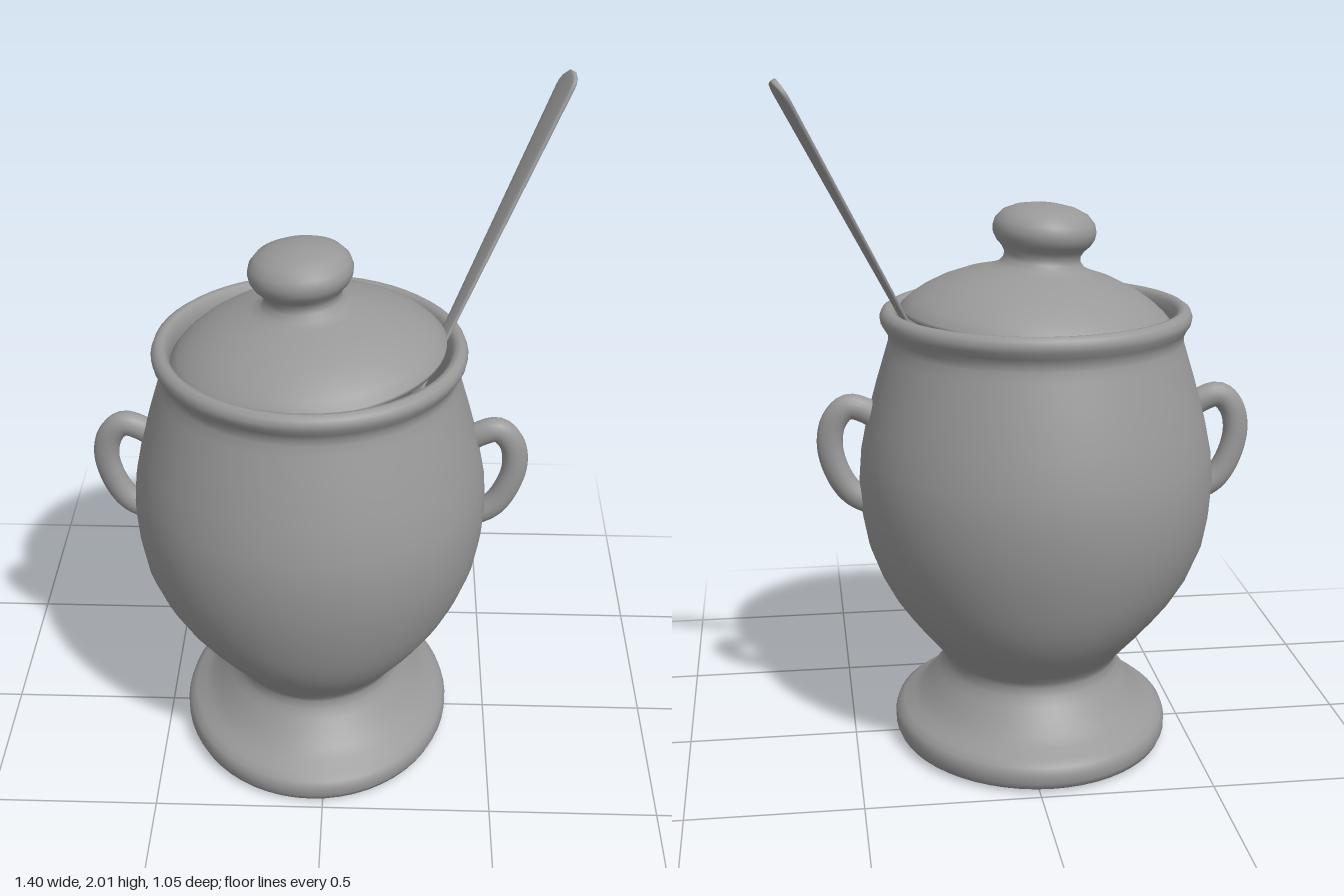
import * as THREE from 'three';
import { mergeVertices } from 'three/addons/utils/BufferGeometryUtils.js';

const CENTER_X = -0.053;
const material = new THREE.MeshStandardMaterial({ color: 0x999999 });

function mesh(name, geometry) {
  const m = new THREE.Mesh(geometry, material);
  m.name = name;
  return m;
}

// Moves every vertex by a rule, then rebuilds seamless smooth normals
function reshape(geometry, rule) {
  const pos = geometry.attributes.position;
  const v = new THREE.Vector3();
  for (let i = 0; i < pos.count; i++) {
    rule(v.fromBufferAttribute(pos, i));
    pos.setXYZ(i, v.x, v.y, v.z);
  }
  geometry.deleteAttribute('uv');
  geometry.deleteAttribute('normal');
  const merged = mergeVertices(geometry, 1e-5);
  merged.computeVertexNormals();
  return merged;
}

const lathe = (points) =>
  new THREE.LatheGeometry(points.map(([r, y]) => new THREE.Vector2(r, y)), 56);

// Round bowl that blends down into a slightly oval foot
function createPot() {
  const profile = [
    [0, 0], [0.445, 0], [0.45, 0.001], [0.476, 0.012], [0.485, 0.03], [0.486, 0.055],
    [0.478, 0.077], [0.455, 0.093], [0.42, 0.109], [0.39, 0.131], [0.36, 0.163],
    [0.332, 0.197], [0.314, 0.222], [0.308, 0.248], [0.316, 0.266], [0.332, 0.288],
    [0.36, 0.32], [0.393, 0.36], [0.42, 0.4], [0.45, 0.455], [0.473, 0.52], [0.5, 0.61],
    [0.517, 0.7], [0.525, 0.8], [0.518, 0.89], [0.498, 0.99], [0.468, 1.1],
    [0.441, 1.19], [0.432, 1.22], [0.432, 1.24], [0.441, 1.258], [0.453, 1.277],
    [0.456, 1.294], [0.45, 1.31], [0.436, 1.32], [0.422, 1.318], [0.41, 1.305],
    [0.405, 1.28], [0.4, 1.2], [0.45, 1.05], [0.48, 0.8], [0.43, 0.52], [0.26, 0.33], [0, 0.29],
  ];
  const geometry = reshape(lathe(profile), (v) => {
    const foot = 1 - THREE.MathUtils.smoothstep(v.y, 0.25, 0.6);
    v.x = v.x * (1 - 0.155 * foot) + 0.018 * foot;
  });
  return mesh('pot', geometry);
}

// Domed lid with knob, resting slightly tilted in the rim
function createLid() {
  const pivotY = 1.3;
  const profile = [
    [0, 1.27], [0.38, 1.27], [0.398, 1.28], [0.4, 1.293], [0.375, 1.32], [0.34, 1.348],
    [0.29, 1.378], [0.22, 1.408], [0.155, 1.426], [0.127, 1.438], [0.113, 1.455],
    [0.111, 1.472], [0.121, 1.49], [0.138, 1.507], [0.148, 1.525], [0.151, 1.545],
    [0.145, 1.568], [0.125, 1.591], [0.09, 1.607], [0.045, 1.616], [0, 1.618],
  ].map(([r, y]) => [r, y - pivotY]);
  const lid = mesh('lid', lathe(profile));
  lid.position.set(-0.005, pivotY, 0);
  lid.rotation.z = 0.08;
  return lid;
}

// Ear-shaped side handle, side = +1 or -1, slimmer towards the pot and the outer bend
function createHandle(name, side) {
  const path = new THREE.CatmullRomCurve3([
    [0.43, 0.965], [0.5, 1.018], [0.555, 1.032], [0.595, 0.992],
    [0.609, 0.92], [0.588, 0.835], [0.545, 0.77], [0.47, 0.73],
  ].map(([x, y]) => new THREE.Vector3(x * side, y, 0)));
  const geometry = reshape(new THREE.TubeGeometry(path, 40, 0.038, 16), (v) => {
    const offset = (Math.abs(v.x) - 0.54) / 0.11;
    v.z *= 0.92 * (1 - 0.4 * Math.min(1, offset * offset));
  });
  return mesh(name, geometry);
}

// Flat spoon leaning out over the rim, its bowl inside the pot
function createSpoon() {
  const tip = new THREE.Vector3(0.684, 2.0, -0.372);
  const rim = new THREE.Vector3(0.345, 1.32, -0.085);
  const axis = tip.clone().sub(rim).normalize();
  const wide = new THREE.Vector3(0.4, 0.17, 0.9);
  wide.addScaledVector(axis, -wide.dot(axis)).normalize();
  const thin = new THREE.Vector3().crossVectors(axis, wide);

  const length = 1.3;
  const handle = reshape(new THREE.CylinderGeometry(1, 1, length, 24, 80), (v) => {
    const below = length / 2 - v.y; // distance from the tip
    const round = below < 0.05 ? Math.sqrt(Math.max(0.03, 1 - (1 - below / 0.05) ** 2)) : 1;
    const taper = THREE.MathUtils.clamp(1 - below / 0.85, 0, 1);
    // Square off the section so both broad faces are nearly flat
    v.x = Math.sign(v.x) * Math.abs(v.x) ** 0.4 * (0.006 + 0.003 * taper);
    v.z *= (0.024 + 0.024 * taper) * round;
    v.y -= length / 2;
  });
  const bowl = new THREE.SphereGeometry(1, 24, 16);
  bowl.scale(0.025, 0.13, 0.08);
  bowl.translate(0, -length - 0.08, 0);

  const spoon = new THREE.Group();
  spoon.name = 'spoon';
  spoon.add(mesh('spoonHandle', handle), mesh('spoonBowl', bowl));
  spoon.quaternion.setFromRotationMatrix(new THREE.Matrix4().makeBasis(thin, axis, wide));
  spoon.position.copy(tip);
  return spoon;
}

export function createModel() {
  const model = new THREE.Group();
  model.name = 'sugarBowl';
  const vessel = new THREE.Group();
  vessel.name = 'vessel';
  vessel.position.x = CENTER_X;
  vessel.add(createPot(), createLid(), createHandle('leftHandle', 1), createHandle('rightHandle', -1));
  model.add(vessel, createSpoon());
  return model;
}
